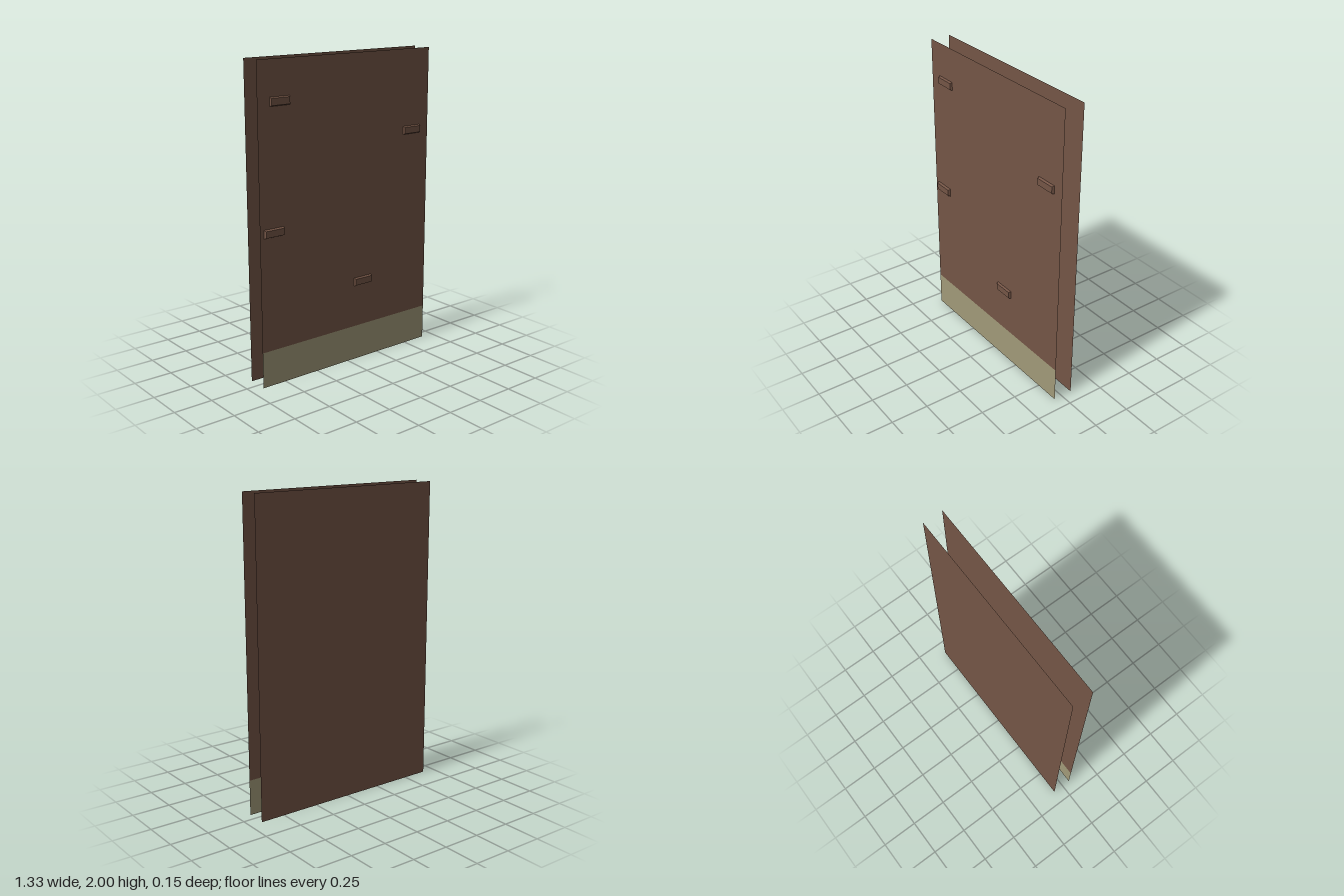
import * as THREE from 'three';

const WIDTH = 1.333, HEIGHT = 2, BASE = 0.23;
const FRONT_Z = 0.057, BACK_Z = -0.073;

export function createModel() {
  const group = new THREE.Group();
  group.name = 'wallPanel';
  const brown = new THREE.MeshStandardMaterial({ name: 'brown', color: 0x745546, side: THREE.DoubleSide });
  const olive = new THREE.MeshStandardMaterial({ name: 'olive', color: 0xa29a79, side: THREE.DoubleSide });

  const add = (name, geometry, material, x, y, z) => {
    const mesh = new THREE.Mesh(geometry, material);
    mesh.name = name;
    mesh.position.set(x, y, z);
    group.add(mesh);
    return mesh;
  };

  // Front sheet: brown wall above an olive skirting band
  add('frontWall', new THREE.PlaneGeometry(WIDTH, HEIGHT - BASE), brown, 0, (HEIGHT + BASE) / 2, FRONT_Z);
  add('skirting', new THREE.PlaneGeometry(WIDTH, BASE), olive, 0, BASE / 2, FRONT_Z);

  // Back sheet, facing away
  add('backWall', new THREE.PlaneGeometry(WIDTH, HEIGHT), brown, 0, HEIGHT / 2, BACK_Z).rotation.y = Math.PI;

  // Raised bricks with bevelled sides: x, y, depth
  const bricks = [
    [-0.51, 1.755, 0.014],
    [0.524, 1.478, 0.014],
    [-0.567, 0.975, 0.016],
    [0.12, 0.533, 0.014],
  ];
  for (const [x, y, depth] of bricks) {
    add('brick', brickGeometry(0.142, 0.054, depth, 0.006), brown, x, y, FRONT_Z + depth / 2);
  }
  return group;
}

// Box whose front face is inset on all sides
function brickGeometry(w, h, d, inset) {
  const box = new THREE.BoxGeometry(w, h, d);
  const p = box.attributes.position;
  for (let i = 0; i < p.count; i++) {
    if (p.getZ(i) > 0) {
      p.setX(i, p.getX(i) - Math.sign(p.getX(i)) * inset);
      p.setY(i, p.getY(i) - Math.sign(p.getY(i)) * inset);
    }
  }
  box.computeVertexNormals();
  return box;
}
